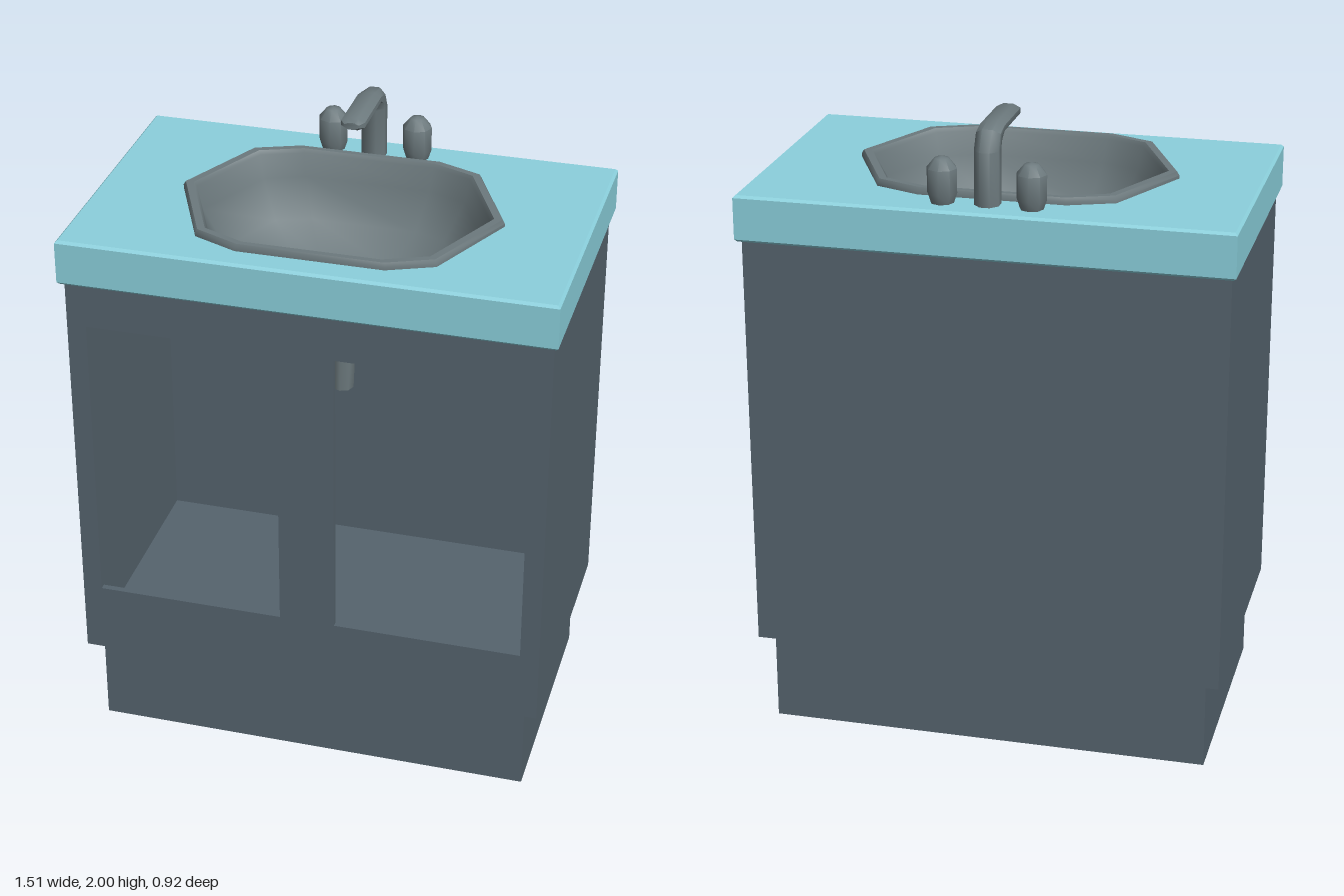
import * as THREE from 'three';
import { toCreasedNormals } from 'three/addons/utils/BufferGeometryUtils.js';

const slate = new THREE.MeshStandardMaterial({ color: 0x55636d, side: THREE.DoubleSide });
slate.name = 'slate cabinet';
const aqua = new THREE.MeshStandardMaterial({ color: 0x8bd0dc });
aqua.name = 'aqua countertop';
const steel = new THREE.MeshStandardMaterial({ color: 0x6c797d, side: THREE.DoubleSide });
steel.name = 'grey steel';

// Ten-sided basin outline as [x, z], centred on z = BASIN_Z
const BASIN_Z = 0.03;
const half = [[0.225, -0.35], [0.365, -0.295], [0.5, -0.01], [0.365, 0.29], [0.225, 0.35]];
const outline = [...half, ...[...half].reverse().map(([x, z]) => [-x, z])];

function add(group, name, geometry, material, x = 0, y = 0, z = 0) {
  const mesh = new THREE.Mesh(geometry, material);
  mesh.name = name;
  mesh.position.set(x, y, z);
  group.add(mesh);
  return mesh;
}

// Skin a list of equal-length closed rings of Vector3
function loft(rings, capStart, capEnd, crease) {
  const n = rings[0].length, index = [];
  for (let r = 0; r < rings.length - 1; r++) {
    for (let i = 0; i < n; i++) {
      const a = r * n + i, b = r * n + (i + 1) % n;
      index.push(a, b, a + n, b, b + n, a + n);
    }
  }
  const last = (rings.length - 1) * n;
  for (let i = 1; i < n - 1; i++) {
    if (capStart) index.push(0, i + 1, i);
    if (capEnd) index.push(last, last + i, last + i + 1);
  }
  const geometry = new THREE.BufferGeometry().setFromPoints(rings.flat());
  geometry.setIndex(index);
  geometry.computeVertexNormals();
  return toCreasedNormals(geometry, crease);
}

function rectPath(target, x0, y0, x1, y1) {
  target.moveTo(x0, y0);
  target.lineTo(x1, y0);
  target.lineTo(x1, y1);
  target.lineTo(x0, y1);
  target.closePath();
  return target;
}

function buildCabinet() {
  const g = new THREE.Group();
  g.name = 'cabinet';
  const w = 0.74, d = 0.435, y0 = 0.29, y1 = 1.62, t = 0.02, h = y1 - y0, mid = (y0 + y1) / 2;
  // Front frame with two open door bays
  const front = rectPath(new THREE.Shape(), -w, y0, w, y1);
  front.holes.push(rectPath(new THREE.Path(), -0.68, 0.52, -0.088, 1.475));
  front.holes.push(rectPath(new THREE.Path(), 0.088, 0.52, 0.68, 1.475));
  add(g, 'frontFrame', new THREE.ExtrudeGeometry(front, { depth: t, bevelEnabled: false }), slate, 0, 0, d - t);
  // Hollow carcass
  add(g, 'backPanel', new THREE.BoxGeometry(2 * w, h, t), slate, 0, mid, -d + t / 2);
  for (const s of [-1, 1]) {
    add(g, s > 0 ? 'leftPanel' : 'rightPanel', new THREE.BoxGeometry(t, h, 2 * d - 2 * t), slate, s * (w - t / 2), mid, 0);
  }
  add(g, 'floorPanel', new THREE.BoxGeometry(2 * w - 2 * t, t, 2 * d - 2 * t), slate, 0, y0 + t / 2, 0);
  add(g, 'plinth', new THREE.BoxGeometry(1.39, y0, 0.8), slate, 0, y0 / 2, 0);
  return g;
}

function buildCountertop() {
  const b = 0.008;
  const slab = rectPath(new THREE.Shape(), -0.755 + b, -0.46 + b, 0.755 - b, 0.46 - b);
  // Cutout that the basin drops into
  slab.holes.push(new THREE.Path(outline.map(([x, z]) => new THREE.Vector2(x * 0.95, -(z * 0.95 + BASIN_Z)))));
  const geometry = new THREE.ExtrudeGeometry(slab, {
    depth: 0.145 - 2 * b, bevelSize: b, bevelThickness: b, bevelSegments: 1,
  });
  geometry.rotateX(-Math.PI / 2);
  geometry.translate(0, 1.62 + b, 0);
  return geometry;
}

function buildSink() {
  const g = new THREE.Group();
  g.name = 'sink';
  // Rim and bowl as [height, outline scale]
  const profile = [[1.76, 1], [1.775, 1], [1.787, 0.985], [1.787, 0.935], [1.775, 0.915],
    [1.7, 0.88], [1.58, 0.74], [1.49, 0.48], [1.46, 0.12]];
  const rings = profile.map(([y, s]) =>
    outline.map(([x, z]) => new THREE.Vector3(x * s, y, z * s + BASIN_Z)).reverse());
  add(g, 'basin', loft(rings, false, true, 0.9), steel);
  // Waste pipe hanging under the bowl
  add(g, 'wastePipe', toCreasedNormals(new THREE.CylinderGeometry(0.048, 0.035, 0.33, 8), 1), steel, 0, 1.3, 0.01);
  return g;
}

function buildTaps() {
  const g = new THREE.Group();
  g.name = 'taps';
  // Spout sections: centre (y, z), half width, half thickness, tilt of the section
  const sections = [
    [1.765, -0.36, 0.037, 0.04, 0], [1.93, -0.36, 0.037, 0.04, 0],
    [1.967, -0.34, 0.037, 0.034, Math.PI / 4], [1.981, -0.3, 0.037, 0.019, Math.PI / 2],
    [1.981, -0.105, 0.037, 0.019, Math.PI / 2], [1.981, -0.087, 0.022, 0.011, Math.PI / 2],
  ];
  const rings = sections.map(([y, z, w, t, tilt]) => Array.from({ length: 8 }, (_, i) => {
    const a = (i + 0.5) * Math.PI / 4, k = 1 / Math.cos(Math.PI / 8);
    const u = Math.sin(a) * t * k;
    return new THREE.Vector3(Math.cos(a) * w * k, y - u * Math.sin(tilt), z + u * Math.cos(tilt));
  }).reverse());
  add(g, 'spout', loft(rings, true, true, 0.9), steel);
  // Faceted knobs either side
  const knob = [[0, 0], [0.036, 0], [0.046, 0.03], [0.046, 0.105], [0.022, 0.135], [0, 0.14]]
    .map(([r, y]) => new THREE.Vector2(r, y));
  for (const s of [-1, 1]) {
    add(g, s > 0 ? 'leftKnob' : 'rightKnob', toCreasedNormals(new THREE.LatheGeometry(knob, 8), 0.9), steel, s * 0.135, 1.765, -0.372);
  }
  return g;
}

export function createModel() {
  const model = new THREE.Group();
  model.name = 'bathroomVanity';
  model.add(buildCabinet());
  add(model, 'countertop', buildCountertop(), aqua);
  model.add(buildSink(), buildTaps());
  return model;
}
